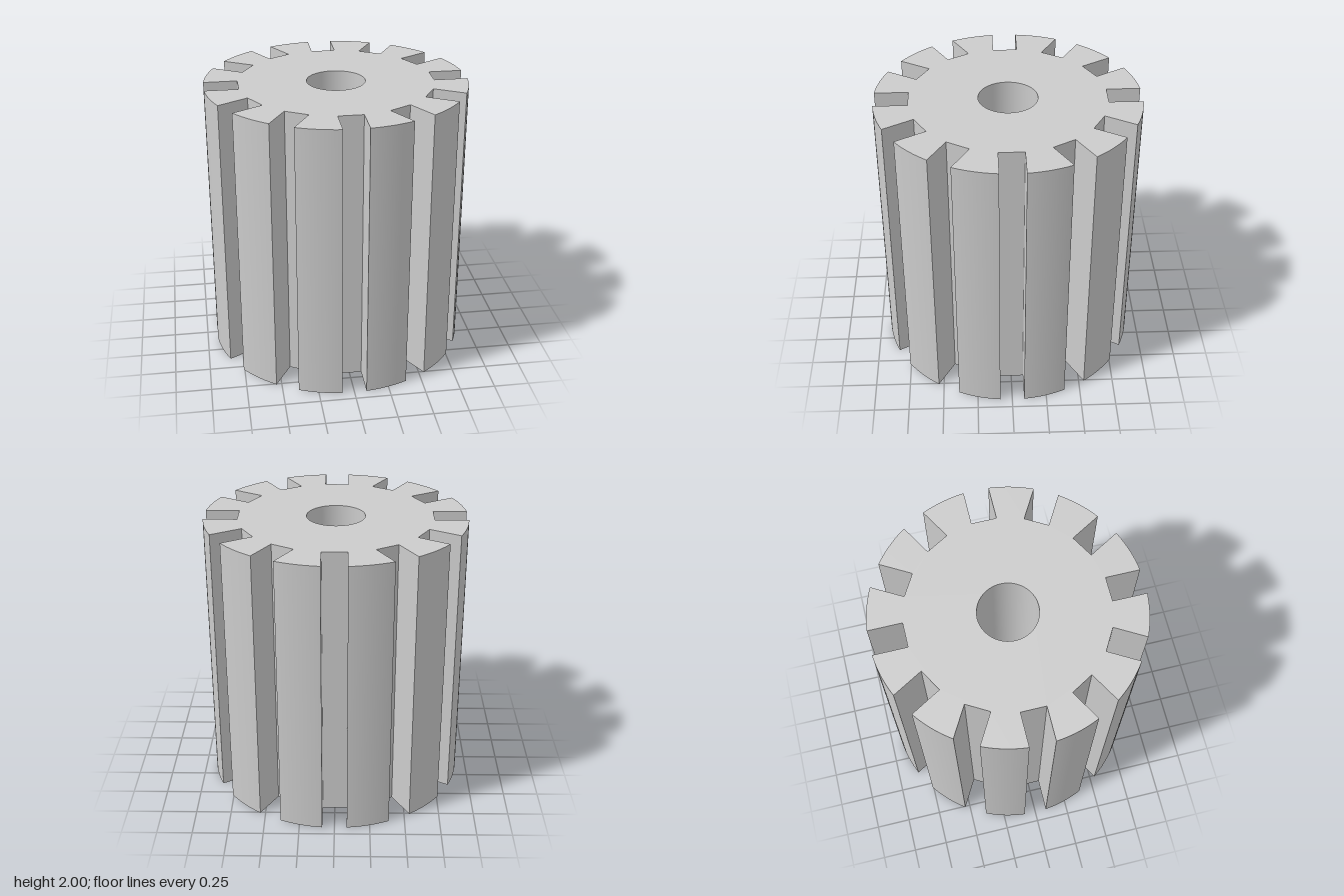
import * as THREE from 'three';
import { toCreasedNormals } from 'three/addons/utils/BufferGeometryUtils.js';

const HEIGHT = 2;
const OUTER_R = 0.929;
const BORE_R = 0.207;
const SLOTS = 12;
const SLOT_HALF = 0.087;   // half the slot width
const SLOT_FLOOR = 0.687;  // distance of the flat slot floor from the axis

// Cross-section: a disc with parallel-sided slots and a round bore
function slottedProfile() {
  const shape = new THREE.Shape();
  const step = (Math.PI * 2) / SLOTS;
  const mouth = Math.asin(SLOT_HALF / OUTER_R);
  const floorR = Math.hypot(SLOT_FLOOR, SLOT_HALF);
  const floorA = Math.atan2(SLOT_HALF, SLOT_FLOOR);
  const at = (r, a) => [r * Math.cos(a), r * Math.sin(a)];

  for (let i = 0; i < SLOTS; i++) {
    const a = i * step;
    // slot floor
    if (i === 0) shape.moveTo(...at(floorR, a - floorA));
    else shape.lineTo(...at(floorR, a - floorA));
    shape.lineTo(...at(floorR, a + floorA));
    // slot wall, then the rounded tooth tip
    shape.lineTo(...at(OUTER_R, a + mouth));
    shape.absarc(0, 0, OUTER_R, a + mouth, a + step - mouth, false);
  }
  shape.closePath();

  const bore = new THREE.Path();
  bore.absarc(0, 0, BORE_R, 0, Math.PI * 2, true);
  shape.holes.push(bore);
  return shape;
}

export function createModel() {
  const group = new THREE.Group();
  group.name = 'slottedRotor';

  // Extrude the profile upward along the axis
  const extruded = new THREE.ExtrudeGeometry(slottedProfile(), {
    depth: HEIGHT,
    bevelEnabled: false,
    curveSegments: 24,
  });
  extruded.rotateX(-Math.PI / 2);

  const core = new THREE.Mesh(
    toCreasedNormals(extruded, 0.6),
    new THREE.MeshStandardMaterial({ color: 0xcccccc })
  );
  core.name = 'slottedCore';
  group.add(core);
  return group;
}
